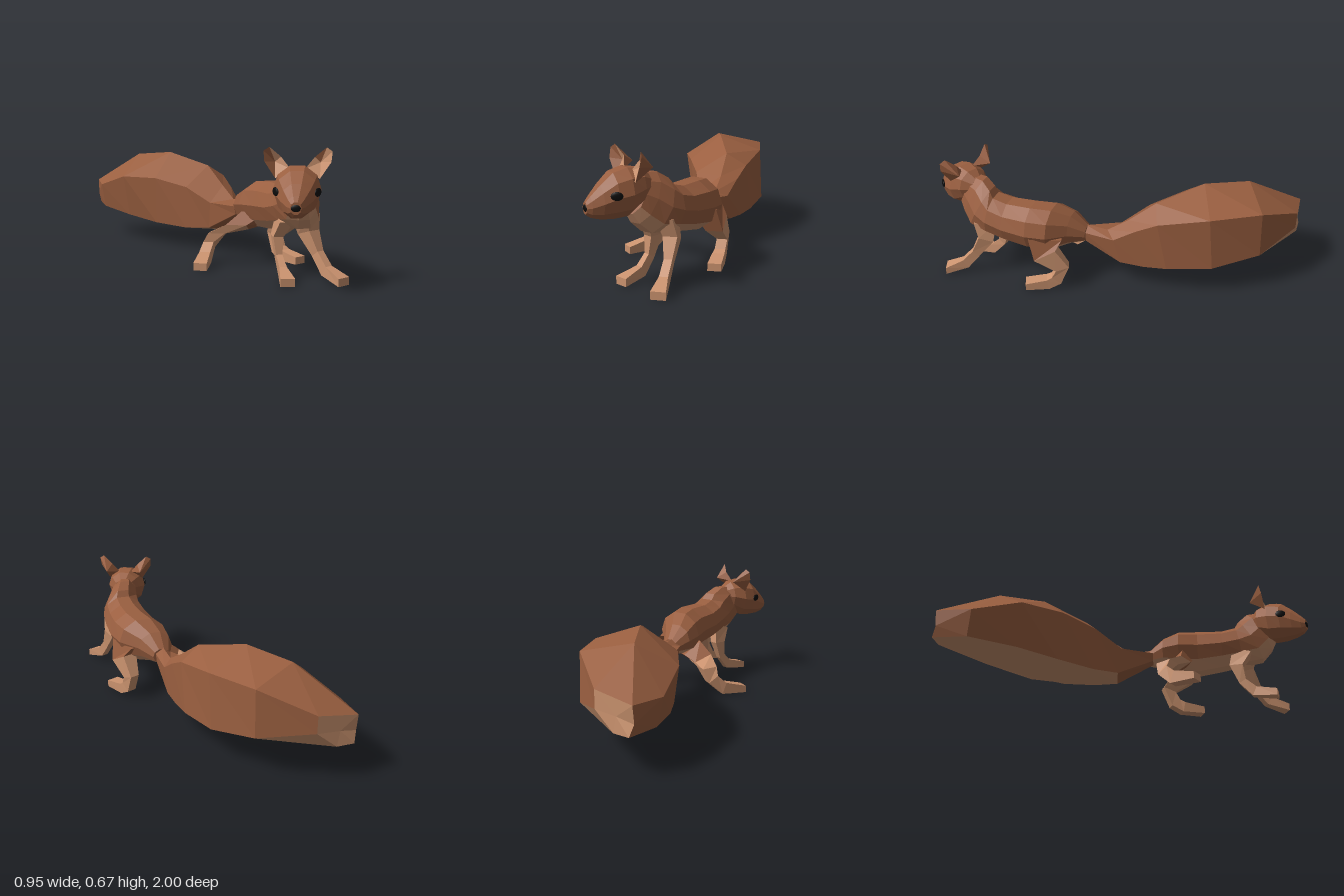
import * as THREE from 'three';

const V = (x, y, z) => new THREE.Vector3(x, y, z);

// Flat-faced mesh from triangles sorted by material; turned so it faces outward
function facetMesh(name, buckets, mats) {
  let volume = 0;
  const a = V(), all = buckets.flat();
  for (const [p, q, r] of all) volume += p.dot(a.crossVectors(q, r));
  const geo = new THREE.BufferGeometry();
  const pos = [];
  buckets.forEach((tris, m) => {
    const start = pos.length / 3;
    for (const [p, q, r] of tris) {
      for (const v of volume < 0 ? [p, r, q] : [p, q, r]) pos.push(v.x, v.y, v.z);
    }
    geo.addGroup(start, tris.length * 3, m);
  });
  geo.setAttribute('position', new THREE.Float32BufferAttribute(pos, 3));
  geo.computeVertexNormals();
  const mesh = new THREE.Mesh(geo, mats);
  mesh.name = name;
  return mesh;
}

// Closed skin over rings of points; colourAt(ring, side) picks the material
function loft(name, rings, mats, colourAt = () => 0, endColour = 0) {
  const buckets = mats.map(() => []);
  const n = rings[0].length;
  for (let i = 0; i < rings.length - 1; i++) {
    for (let j = 0; j < n; j++) {
      const k = (j + 1) % n, A = rings[i], B = rings[i + 1];
      buckets[colourAt(i, j)].push([A[j], A[k], B[k]], [A[j], B[k], B[j]]);
    }
  }
  const cap = (ring, flip, m) => {
    const c = ring.reduce((s, p) => s.add(p), V(0, 0, 0)).divideScalar(n);
    ring.forEach((p, j) => {
      const q = ring[(j + 1) % n];
      buckets[m].push(flip ? [c, q, p] : [c, p, q]);
    });
  };
  cap(rings[0], true, 0);
  cap(rings[rings.length - 1], false, endColour);
  return facetMesh(name, buckets, mats);
}

// Oval ring across z; tilt pushes its lower part forward
function oval(x, y, z, rx, ry, tilt = 0, sides = 10) {
  return Array.from({ length: sides }, (_, j) => {
    const t = (j / sides) * Math.PI * 2;
    return V(x + rx * Math.cos(t), y + ry * Math.sin(t), z - tilt * Math.sin(t));
  });
}

// Four-sided leg through points [x, y, z, half width, half depth], toe last
function leg(name, path, mats, colourAt) {
  const pts = path.map((p) => V(p[0], p[1], p[2]));
  const n = pts.length;
  const heading = pts[n - 1].clone().sub(pts[n - 2]).setY(0).normalize();
  const side = V(heading.z, 0, -heading.x);
  const rings = pts.map((p, i) => {
    const dir = pts[Math.min(i + 1, n - 1)].clone().sub(pts[Math.max(i - 1, 0)]);
    if (i === n - 1) dir.copy(heading);
    const across = dir.cross(side).normalize();
    return [[1, 1], [-1, 1], [-1, -1], [1, -1]].map(([u, w]) => {
      const v = p.clone().addScaledVector(side, path[i][3] * u).addScaledVector(across, path[i][4] * w);
      v.y = Math.max(v.y, 0);
      return v;
    });
  });
  return loft(name, rings, mats, colourAt, mats.length - 1);
}

export function createModel() {
  const brown = new THREE.MeshStandardMaterial({ color: 0x9a5f40 });
  brown.name = 'brown fur';
  const tan = new THREE.MeshStandardMaterial({ color: 0xcb936f });
  tan.name = 'tan fur';
  const black = new THREE.MeshStandardMaterial({ color: 0x0c0c0c });
  black.name = 'black';
  const fur = [brown, tan];
  const model = new THREE.Group();
  model.name = 'squirrel';

  // Body: rump to neck, with a tan belly, chest and throat
  const body = [
    [0.19, 0.28, 0.08, 0.05, 0.045], [0.205, 0.31, 0.16, 0.1, 0.09],
    [0.25, 0.325, 0.25, 0.145, 0.13], [0.28, 0.332, 0.36, 0.14, 0.133],
    [0.285, 0.343, 0.5, 0.132, 0.12], [0.288, 0.365, 0.6, 0.122, 0.118, 0.02],
    [0.28, 0.39, 0.67, 0.108, 0.128, 0.07], [0.255, 0.435, 0.725, 0.09, 0.12, 0.07],
    [0.24, 0.46, 0.77, 0.07, 0.095, 0.05],
  ].map((r) => oval(...r));
  model.add(loft('body', body, fur, (i, j) => (j >= 6 && j <= 8 ? 1 : 0)));

  // Tail: six-sided with a steep outer wall, swept to one side, tan beneath and at the end
  const tail = [
    [[0.13, 0.29, 0.1], [0.18, 0.33, 0.11], [0.225, 0.3, 0.09], [0.22, 0.25, 0.09], [0.18, 0.235, 0.1], [0.14, 0.245, 0.1]],
    [[0.04, 0.29, -0.07], [0.17, 0.312, -0.03], [0.222, 0.285, -0.08], [0.218, 0.145, -0.12], [0.15, 0.12, -0.11], [0.04, 0.14, -0.09]],
    [[-0.07, 0.37, -0.2], [0.14, 0.38, -0.14], [0.212, 0.36, -0.2], [0.21, 0.14, -0.25], [0.1, 0.103, -0.25], [-0.07, 0.125, -0.21]],
    [[-0.22, 0.41, -0.36], [0.09, 0.487, -0.28], [0.2, 0.42, -0.32], [0.2, 0.15, -0.38], [0.04, 0.09, -0.4], [-0.21, 0.135, -0.38]],
    [[-0.38, 0.405, -0.55], [-0.09, 0.555, -0.5], [0.14, 0.47, -0.59], [0.14, 0.17, -0.62], [-0.09, 0.105, -0.6], [-0.34, 0.16, -0.57]],
    [[-0.48, 0.33, -0.79], [-0.245, 0.53, -0.72], [0, 0.477, -0.84], [0, 0.22, -0.85], [-0.24, 0.145, -0.83], [-0.455, 0.185, -0.81]],
    [[-0.47, 0.25, -0.98], [-0.47, 0.34, -0.99], [-0.25, 0.375, -1], [-0.25, 0.28, -1], [-0.36, 0.19, -1], [-0.455, 0.19, -1]],
  ].map((ring) => ring.map((p) => V(...p)));
  model.add(loft('tail', tail, fur, (i, j) => ((j === 3 || j === 4) && i > 0 ? 1 : 0), 1));

  // Legs
  const brownThigh = (i) => (i === 0 ? 0 : 1);
  model.add(
    leg('leftFrontLeg', [
      [0.325, 0.33, 0.64, 0.045, 0.06], [0.35, 0.23, 0.63, 0.036, 0.042], [0.375, 0.13, 0.69, 0.021, 0.024],
      [0.395, 0.055, 0.755, 0.022, 0.028], [0.437, 0.02, 0.86, 0.037, 0.02],
    ], [tan]),
    leg('rightFrontLeg', [
      [0.225, 0.31, 0.62, 0.035, 0.055], [0.2, 0.21, 0.58, 0.026, 0.038], [0.197, 0.11, 0.61, 0.016, 0.022],
      [0.194, 0.045, 0.675, 0.019, 0.028], [0.17, 0.02, 0.8, 0.036, 0.02],
    ], [tan]),
    leg('leftHindLeg', [
      [0.32, 0.31, 0.28, 0.065, 0.09], [0.368, 0.225, 0.265, 0.045, 0.065], [0.352, 0.135, 0.17, 0.028, 0.038],
      [0.36, 0.055, 0.205, 0.028, 0.032], [0.375, 0.03, 0.25, 0.032, 0.03], [0.422, 0.02, 0.365, 0.036, 0.02],
    ], fur, brownThigh),
    leg('rightHindLeg', [
      [0.2, 0.25, 0.26, 0.07, 0.065], [0.1, 0.2, 0.25, 0.055, 0.055], [0.005, 0.165, 0.195, 0.045, 0.045],
      [-0.04, 0.1, 0.185, 0.028, 0.034], [-0.08, 0.04, 0.24, 0.03, 0.035], [-0.145, 0.02, 0.365, 0.036, 0.02],
    ], fur, brownThigh),
  );

  // Head, turned to the model's right
  const head = new THREE.Group();
  head.name = 'head';
  head.position.set(0.257, 0, 0.7);
  head.rotation.y = -0.43;
  head.add(loft('skull', [
    [0, 0.492, 0, 0.055, 0.055], [0, 0.49, 0.05, 0.095, 0.092], [0, 0.473, 0.12, 0.115, 0.12],
    [0, 0.461, 0.19, 0.104, 0.113], [0, 0.436, 0.25, 0.075, 0.084], [0, 0.417, 0.297, 0.044, 0.052],
    [0, 0.413, 0.318, 0.026, 0.03],
  ].map((r) => oval(...r)), [brown]));

  const ball = new THREE.IcosahedronGeometry(1, 2);
  const blackSpot = (name, x, y, z, turn, sx, sy, sz) => {
    const mesh = new THREE.Mesh(ball, black);
    mesh.name = name;
    mesh.position.set(x, y, z);
    mesh.rotation.y = turn;
    mesh.scale.set(sx, sy, sz);
    head.add(mesh);
  };
  blackSpot('nose', 0, 0.413, 0.317, 0, 0.023, 0.017, 0.006);

  for (const s of [1, -1]) {
    const side = s > 0 ? 'left' : 'right';
    blackSpot(side + 'Eye', s * 0.098, 0.473, 0.203, s * 1.1, 0.029, 0.021, 0.008);

    // Ear: rim with a hollow front, part tan and part brown, and a brown back
    const rim = [
      [0.035, 0.57, 0.1], [0.105, 0.525, 0.115], [0.157, 0.605, 0.12],
      [0.162, 0.655, 0.11], [0.135, 0.673, 0.1], [0.08, 0.625, 0.08],
    ].map(([x, y, z]) => V(s * x, y, z));
    const hollow = V(s * 0.108, 0.6, 0.075), back = V(s * 0.105, 0.59, 0.022);
    const brownPart = s > 0 ? [4] : [1, 2, 3];
    const sides = [[], []];
    rim.forEach((p, j) => {
      const q = rim[(j + 1) % rim.length];
      sides[0].push([back, q, p]);
      sides[brownPart.includes(j) ? 0 : 1].push([hollow, p, q]);
    });
    head.add(facetMesh(side + 'Ear', sides, fur));
  }
  model.add(head);
  return model;
}
